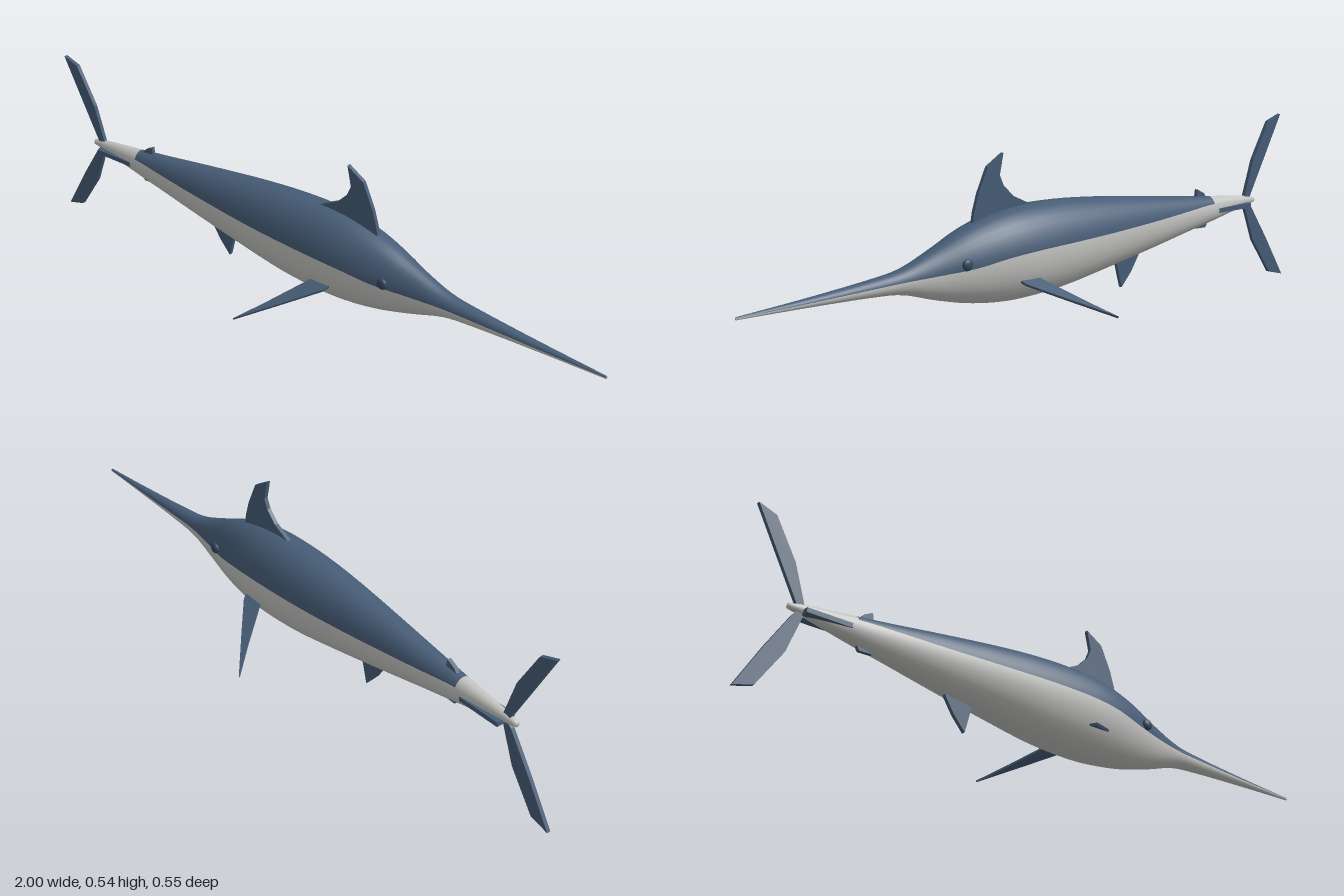
import * as THREE from 'three';

const blue = new THREE.MeshStandardMaterial({ color: 0x465c76 });
blue.name = 'slate blue';
const pale = new THREE.MeshStandardMaterial({ color: 0xc2c2c0 });
pale.name = 'pale belly';
const dark = new THREE.MeshStandardMaterial({ color: 0x34485e });
dark.name = 'dark eye';

// Body stations: x, top y, bottom y, half width, y of the colour line
const STATIONS = [
  [-0.86, 0.278, 0.262, 0.008, 0.27],
  [-0.8, 0.289, 0.25, 0.016, 0.275],
  [-0.66, 0.304, 0.221, 0.032, 0.283],
  [-0.54, 0.318, 0.199, 0.046, 0.278],
  [-0.4, 0.336, 0.172, 0.062, 0.271],
  [-0.2, 0.359, 0.136, 0.084, 0.264],
  [-0.04, 0.371, 0.11, 0.097, 0.26],
  [0.1, 0.371, 0.1, 0.1, 0.255],
  [0.2, 0.358, 0.103, 0.093, 0.246],
  [0.3, 0.329, 0.117, 0.075, 0.229],
  [0.4, 0.285, 0.142, 0.051, 0.22],
  [0.5, 0.246, 0.172, 0.033, 0.214],
  [0.6, 0.23, 0.181, 0.025, 0.209],
  [0.8, 0.211, 0.186, 0.014, 0.2],
  [1, 0.196, 0.188, 0.004, 0.193],
];
const TAIL_STATION = 2; // the tail stalk behind this station is all pale

function createBody() {
  const STEPS = 4, HALF = 16, RING = HALF * 2;
  const spline = (a, b) => new THREE.CatmullRomCurve3(
    STATIONS.map((s) => new THREE.Vector3(s[0], s[a], s[b])), false, 'catmullrom', 0.5);
  const heights = spline(1, 2), sides = spline(3, 4);
  const n = (STATIONS.length - 1) * STEPS;
  const pos = [], back = [], belly = [];

  for (let i = 0; i <= n; i++) {
    const { x, y: top, z: bottom } = heights.getPoint(i / n);
    const { y: width, z: line } = sides.getPoint(i / n);
    const cy = (top + bottom) / 2, h = (top - bottom) / 2;
    const t0 = Math.asin(THREE.MathUtils.clamp((line - cy) / h, -0.9, 0.9));
    for (let j = 0; j < RING; j++) {
      // first half of the ring lies above the colour line, second half below
      const t = j < HALF
        ? t0 + (Math.PI - 2 * t0) * j / HALF
        : Math.PI - t0 + (Math.PI + 2 * t0) * (j - HALF) / HALF;
      pos.push(x, cy + h * Math.sin(t), width * Math.cos(t));
    }
  }
  for (let i = 0; i < n; i++) {
    for (let j = 0; j < RING; j++) {
      const a = i * RING + j, b = i * RING + (j + 1) % RING;
      const list = j < HALF && i >= TAIL_STATION * STEPS ? back : belly;
      list.push(a, a + RING, b + RING, a, b + RING, b);
    }
  }
  // End caps
  const first = STATIONS[0], last = STATIONS[STATIONS.length - 1];
  const c = pos.length / 3;
  pos.push(first[0], (first[1] + first[2]) / 2, 0, last[0], (last[1] + last[2]) / 2, 0);
  for (let j = 0; j < RING; j++) {
    const k = (j + 1) % RING;
    belly.push(c, j, k, c + 1, n * RING + k, n * RING + j);
  }

  const g = new THREE.BufferGeometry();
  g.setAttribute('position', new THREE.Float32BufferAttribute(pos, 3));
  g.setIndex([...back, ...belly]);
  g.addGroup(0, back.length, 0);
  g.addGroup(back.length, belly.length, 1);
  g.computeVertexNormals();
  const body = new THREE.Mesh(g, [blue, pale]);
  body.name = 'body';
  return body;
}

// Flat fin cut from an outline, centred on its own plane
function fin(name, points, thickness = 0.012) {
  const shape = new THREE.Shape(points.map(([x, y]) => new THREE.Vector2(x, y)));
  const g = new THREE.ExtrudeGeometry(shape, { depth: thickness, bevelEnabled: false });
  g.translate(0, 0, -thickness / 2);
  const mesh = new THREE.Mesh(g, blue);
  mesh.name = name;
  return mesh;
}

export function createModel() {
  const model = new THREE.Group();
  model.name = 'billfish';
  model.add(createBody());

  // Fins on the centre plane
  model.add(
    fin('dorsalFin', [[0.06, 0.35], [0.06, 0.371], [0.12, 0.4], [0.155, 0.435], [0.168, 0.465],
      [0.155, 0.527], [0.21, 0.493], [0.243, 0.42], [0.258, 0.37], [0.265, 0.33]]),
    fin('upperTailLobe', [[-0.82, 0.265], [-0.815, 0.285], [-0.85, 0.4], [-0.915, 0.518],
      [-0.97, 0.537], [-0.905, 0.41], [-0.838, 0.28]]),
    fin('lowerTailLobe', [[-0.82, 0.275], [-0.845, 0.25], [-0.92, 0.135], [-1, 0.002],
      [-0.94, 0.018], [-0.86, 0.135], [-0.815, 0.255]]),
    fin('analFin', [[-0.36, 0.185], [-0.36, 0.16], [-0.33, 0.112], [-0.292, 0.068],
      [-0.272, 0.142], [-0.272, 0.17]]),
    fin('rearDorsalFinlet', [[-0.65, 0.295], [-0.632, 0.318], [-0.605, 0.332], [-0.6, 0.3]]),
    fin('rearAnalFinlet', [[-0.655, 0.23], [-0.642, 0.207], [-0.6, 0.208], [-0.6, 0.225]]),
  );

  for (const side of [1, -1]) {
    const label = side > 0 ? 'right' : 'left';

    // Swept pectoral fin, angled down and outward
    const pectoral = fin(label + 'PectoralFin', [[0.17, -0.025], [0.15, 0.02], [0.06, 0.11],
      [-0.045, 0.213], [0.015, 0.125], [0.085, 0.015], [0.1, -0.025]], 0.007);
    pectoral.position.set(0, 0.173, side * 0.083);
    pectoral.rotation.x = side * (Math.PI / 2 + 0.49);
    model.add(pectoral);

    // Horizontal keel beside the tail stalk
    const keel = new THREE.Mesh(new THREE.BoxGeometry(0.14, 0.014, 0.026), blue);
    keel.name = label + 'TailKeel';
    keel.position.set(-0.75, 0.259, side * 0.018);
    model.add(keel);

    const eye = new THREE.Mesh(new THREE.SphereGeometry(0.017, 16, 12), dark);
    eye.name = label + 'Eye';
    eye.scale.z = 0.55;
    eye.position.set(0.33, 0.243, side * 0.071);
    model.add(eye);
  }
  return model;
}
